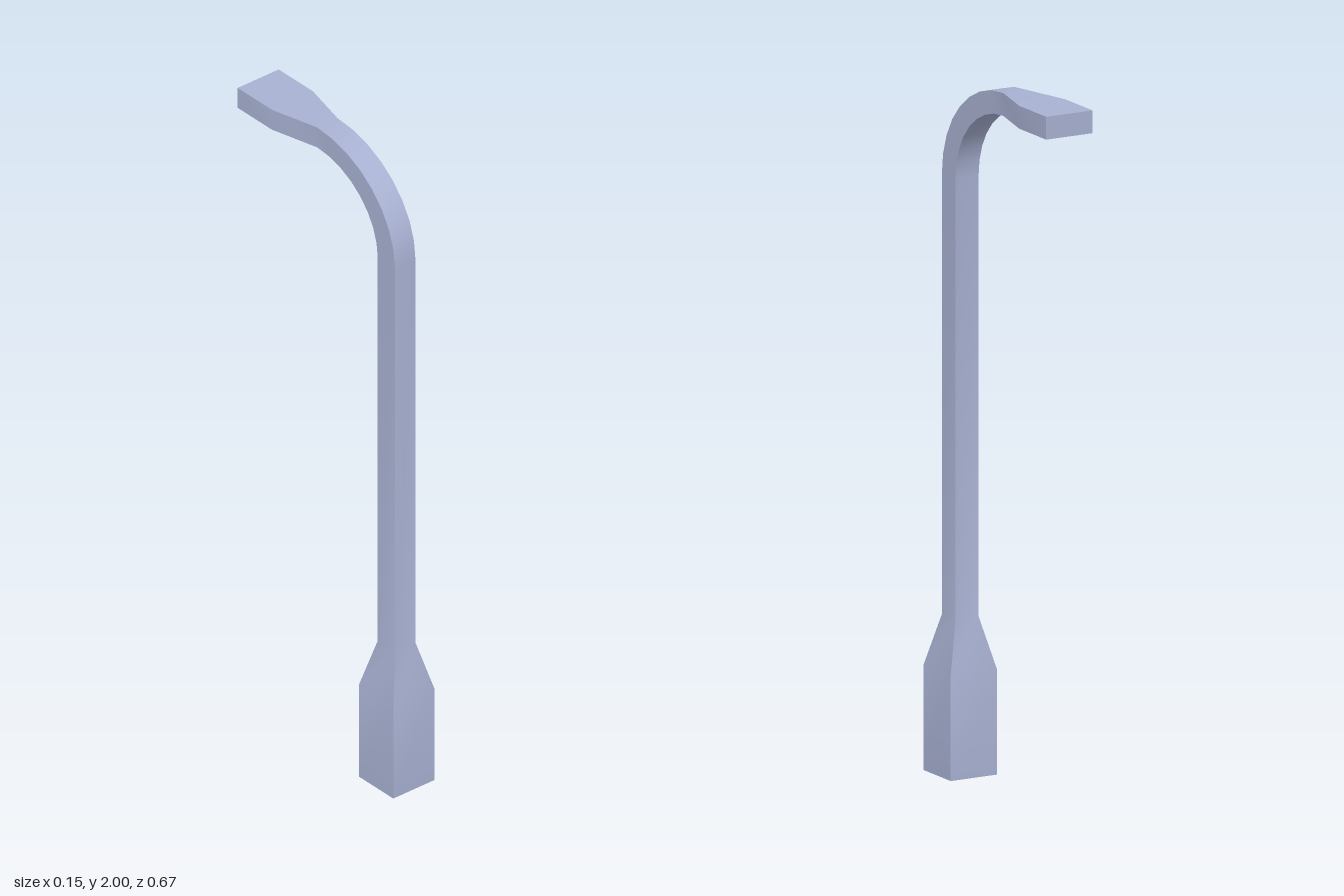
import * as THREE from 'three';
import { toCreasedNormals } from 'three/addons/utils/BufferGeometryUtils.js';

const WIDE = 0.074, THIN = 0.037, POLE_Z = 0.26, BEND_Y = 1.7, ARC_STEPS = 8;

// A cross-section: front/outer point, back/inner point (each [y, z]) and half width
const section = (outer, inner, half) => ({ outer, inner, half });
const upright = (y, half) => section([y, POLE_Z + half], [y, POLE_Z - half], half);
const arm = (z, half) => section([2, z], [1.935, z], half);

// Joins the cross-sections with the chosen sides (0 left, 1 inner, 2 right, 3 outer)
function loft(sections, sidesAt, capped) {
  const positions = [], index = [];
  for (const { outer: o, inner: n, half: h } of sections) {
    positions.push(h, ...o, h, ...n, -h, ...n, -h, ...o);
  }
  const quad = (a, b, c, d) => index.push(a, b, c, a, c, d);
  for (let i = 0; i < sections.length - 1; i++) {
    for (const s of sidesAt(i)) {
      const a = i * 4 + s, b = i * 4 + (s + 1) % 4;
      quad(a, b, b + 4, a + 4);
    }
  }
  if (capped) {
    const e = (sections.length - 1) * 4;
    quad(3, 2, 1, 0);
    quad(e, e + 1, e + 2, e + 3);
  }
  const geometry = new THREE.BufferGeometry();
  geometry.setAttribute('position', new THREE.Float32BufferAttribute(positions, 3));
  geometry.setIndex(index);
  return toCreasedNormals(geometry, Math.PI / 5);
}

export function createModel() {
  const metal = new THREE.MeshStandardMaterial({ color: 0xa8b1d2 });
  metal.name = 'blue grey metal';
  const glass = new THREE.MeshStandardMaterial({ color: 0xf0e8d8 });
  glass.name = 'warm lamp glass';

  // Square base tapering into the pole
  const sections = [upright(0, WIDE), upright(0.3, WIDE), upright(0.447, THIN)];

  // Bend from the upright pole to the level arm
  for (let i = 0; i <= ARC_STEPS; i++) {
    const t = (i / ARC_STEPS) * Math.PI / 2;
    const point = (ry, rz) => [BEND_Y + ry * Math.sin(t), -0.037 + rz * Math.cos(t)];
    sections.push(section(point(0.3, 0.334), point(0.235, 0.26), THIN));
  }

  // Lamp head widening from the arm
  const headStart = sections.length - 1;
  sections.push(arm(-0.187, WIDE), arm(-0.334, WIDE));

  const group = new THREE.Group();
  group.name = 'streetLamp';

  const post = new THREE.Mesh(
    loft(sections, (i) => (i < headStart ? [0, 1, 2, 3] : [0, 2, 3]), true), metal);
  post.name = 'postAndHead';

  // Glass underside of the head
  const lens = new THREE.Mesh(loft(sections.slice(headStart), () => [1], false), glass);
  lens.name = 'lampLens';

  group.add(post, lens);
  return group;
}
